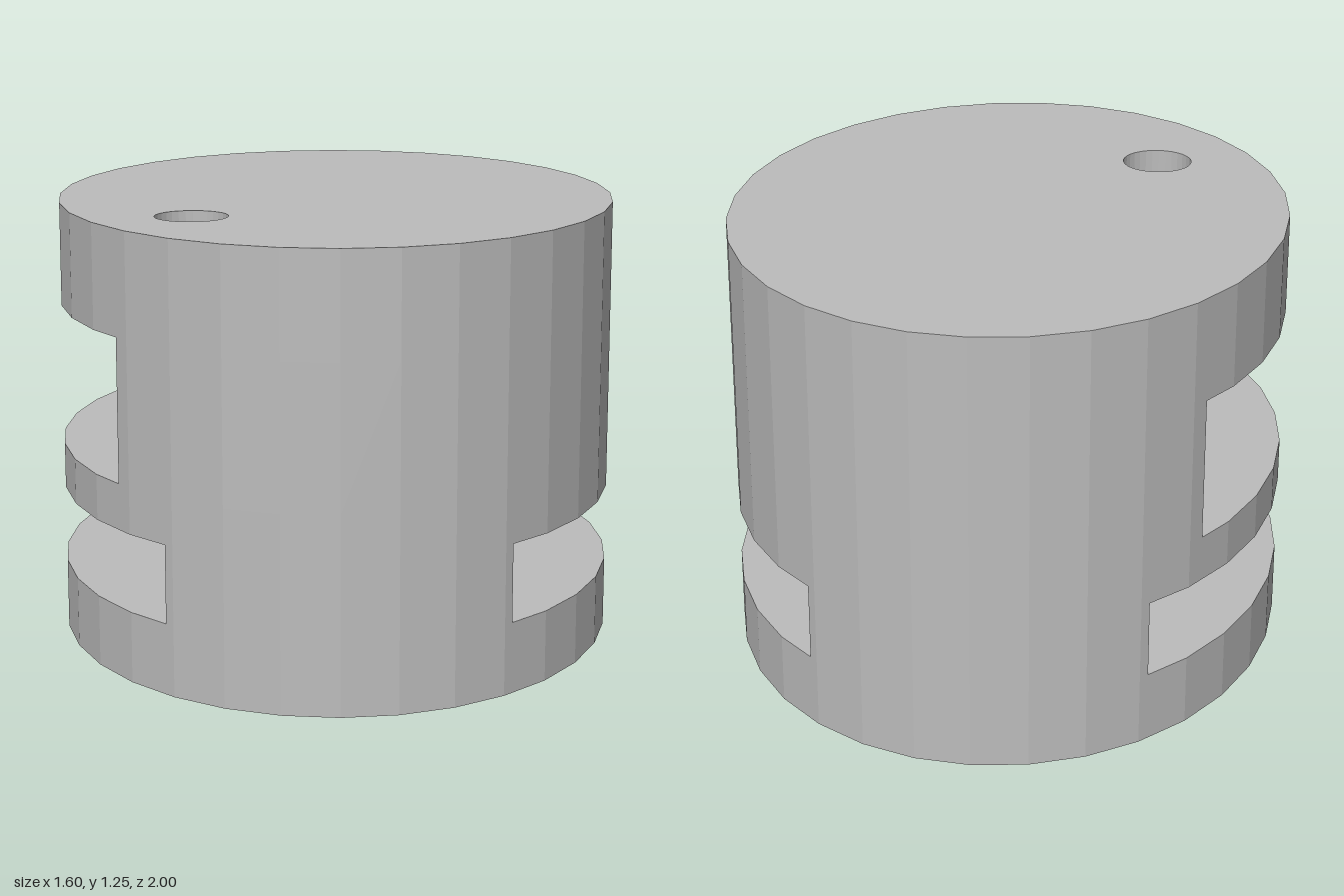
import * as THREE from 'three';

const SIDES = 32, RX = 0.8, RZ = 1, HEIGHT = 1.25;
const LOW = { y0: 0.2, y1: 0.42, z: 0.81 };              // slot running right through
const HIGH = { y0: 0.55, y1: 0.955, z: 0.66, x: 0.5 };   // pocket open on the -x side
const EPS = 1e-5;

// Points are Vector2(x, z), listed by rising angle
const P = (x, z) => new THREE.Vector2(x, z);

function circle(cx, cz, rx, rz, n) {
  return Array.from({ length: n }, (_, i) => {
    const a = (i / n) * Math.PI * 2;
    return P(cx + rx * Math.cos(a), cz + rz * Math.sin(a));
  });
}

// x of the faceted ellipse at height z
function edgeX(z) {
  const step = (Math.PI * 2) / SIDES;
  const k = Math.floor(Math.asin(z / RZ) / step) * step;
  const z0 = RZ * Math.sin(k), z1 = RZ * Math.sin(k + step);
  return THREE.MathUtils.lerp(RX * Math.cos(k), RX * Math.cos(k + step), (z - z0) / (z1 - z0));
}

// Vertical wall around a loop; inward walls line holes
function wall(loop, y0, y1, inward = false) {
  const pts = inward ? [...loop].reverse() : loop;
  const pos = [];
  pts.forEach((a, i) => {
    const b = pts[(i + 1) % pts.length];
    pos.push(a.x, y0, a.y, a.x, y1, a.y, b.x, y0, b.y);
    pos.push(b.x, y0, b.y, a.x, y1, a.y, b.x, y1, b.y);
  });
  const g = new THREE.BufferGeometry();
  g.setAttribute('position', new THREE.Float32BufferAttribute(pos, 3));
  g.computeVertexNormals();
  return g;
}

// Horizontal face, with an optional hole
function cap(loop, y, up, hole) {
  const flip = (pts) => pts.map((p) => P(p.x, up ? -p.y : p.y));
  const shape = new THREE.Shape(flip(loop));
  if (hole) shape.holes.push(new THREE.Path(flip(hole)));
  return new THREE.ShapeGeometry(shape).rotateX(up ? -Math.PI / 2 : Math.PI / 2).translate(0, y, 0);
}

export function createModel() {
  const group = new THREE.Group();
  const grey = new THREE.MeshStandardMaterial({ color: 0xbcbcbc });
  grey.name = 'plain grey';
  const add = (name, ...geometries) => {
    const part = new THREE.Group();
    part.name = name;
    geometries.forEach((g) => part.add(new THREE.Mesh(g, grey)));
    group.add(part);
  };

  // Outline with the slot corners added
  const outline = circle(0, 0, RX, RZ, SIDES);
  for (const z of [LOW.z, HIGH.z]) {
    const x = edgeX(z);
    outline.push(P(x, z), P(-x, z), P(x, -z), P(-x, -z));
  }
  outline.sort((a, b) => Math.atan2(a.y, a.x) - Math.atan2(b.y, b.x));

  // Outlines of the cut levels
  const frontPier = outline.filter((p) => p.y > LOW.z - EPS);
  const backPier = outline.filter((p) => p.y < -LOW.z + EPS);
  const band = outline.filter((p) => Math.abs(p.y) < LOW.z + EPS);
  const pocketInner = [P(HIGH.x, HIGH.z), P(HIGH.x, -HIGH.z)];
  const cShape = outline
    .filter((p) => p.x > 0 || Math.abs(p.y) > HIGH.z - EPS)
    .concat(pocketInner);
  const pocket = outline
    .filter((p) => p.x < 0 && Math.abs(p.y) < HIGH.z + EPS)
    .sort((a, b) => b.y - a.y)
    .concat([pocketInner[1], pocketInner[0]]);

  const topHole = circle(-0.4, 0.447, 0.102, 0.102, 32);
  const floorHole = circle(-0.06, -0.09, 0.235, 0.235, 32);

  add('base', cap(outline, 0, false), wall(outline, 0, LOW.y0), cap(band, LOW.y0, true));
  add('slotPiers', wall(frontPier, LOW.y0, LOW.y1), wall(backPier, LOW.y0, LOW.y1));
  add('middlePlate',
    cap(band, LOW.y1, false, floorHole),
    wall(outline, LOW.y1, HIGH.y0),
    wall(floorHole, LOW.y1, HIGH.y0, true),
    cap(pocket, HIGH.y0, true, floorHole));
  add('pocketWall', wall(cShape, HIGH.y0, HIGH.y1));
  add('topPlate',
    cap(pocket, HIGH.y1, false, topHole),
    wall(outline, HIGH.y1, HEIGHT),
    wall(topHole, HIGH.y1, HEIGHT, true),
    cap(outline, HEIGHT, true, topHole));
  return group;
}
